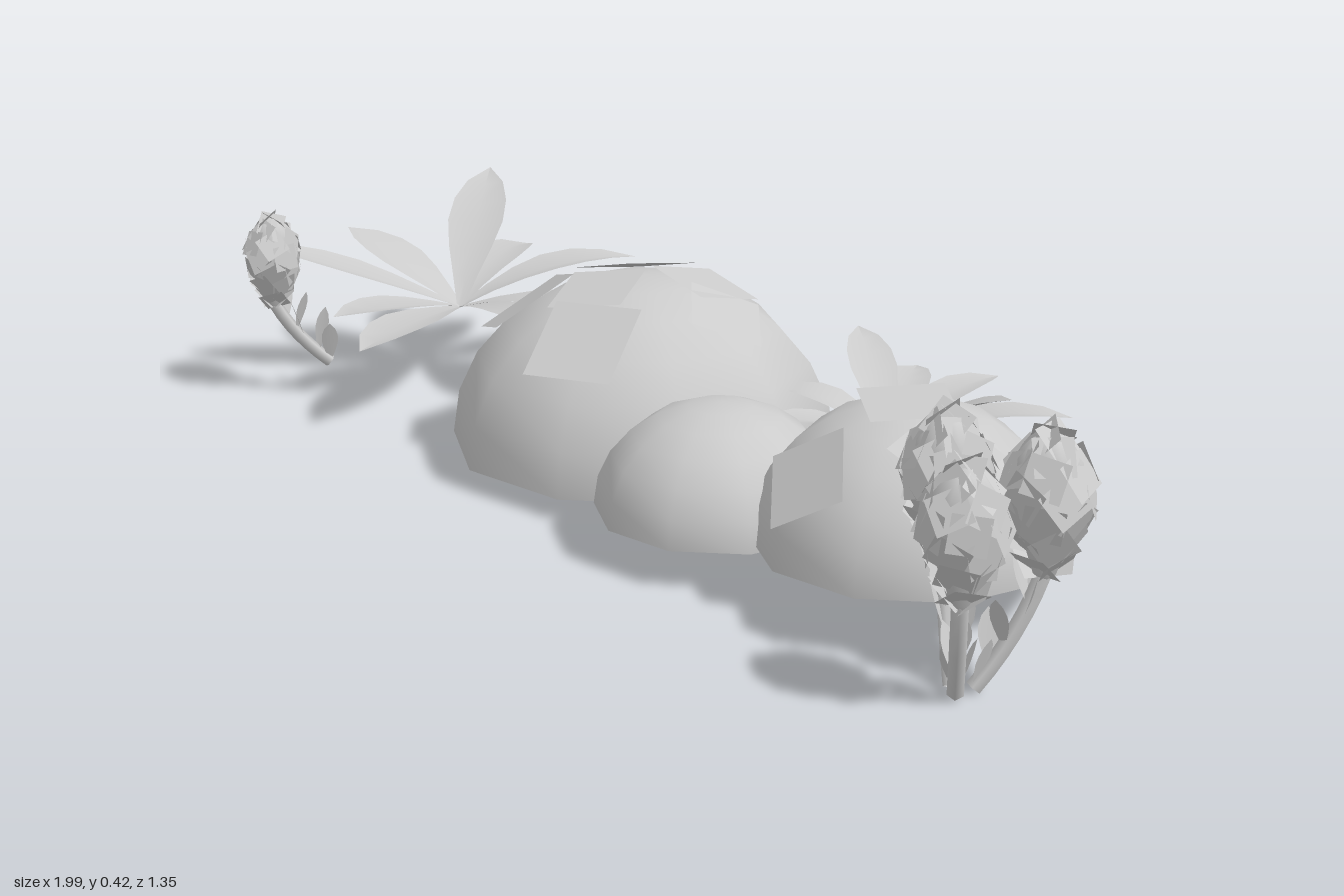
import * as THREE from 'three';

const grey = new THREE.MeshStandardMaterial({ color: 0xcccccc, side: THREE.DoubleSide });
const V = (x, y, z) => new THREE.Vector3(x, y, z);
const UP = V(0, 1, 0);

function add(parent, name, geometry) {
  const mesh = new THREE.Mesh(geometry, grey);
  mesh.name = name;
  parent.add(mesh);
  return mesh;
}

// Ten-sided hollow dome with one lower panel missing at the back
function domeGeometry() {
  const cols = 10, rows = 6, gap = 4;
  const g = new THREE.SphereGeometry(1, cols, rows, 0, Math.PI * 2, 0, Math.PI / 2);
  const keep = [], idx = g.index.array;
  for (let i = 0; i < idx.length; i += 3) {
    const tri = [idx[i], idx[i + 1], idx[i + 2]];
    const col = Math.min(...tri.map(k => k % (cols + 1)));
    const row = Math.min(...tri.map(k => Math.floor(k / (cols + 1))));
    if (row < 3 || col !== gap) keep.push(...tri);
  }
  g.setIndex(keep);
  // column 0 starts at 6 degrees from the front, columns run towards +x
  g.rotateY(THREE.MathUtils.degToRad(96));
  return g;
}

// Dome with square sheets lying against it: [x, z, size, spin]
function stone(parent, name, x, y, z, r, h, patches) {
  const group = new THREE.Group();
  group.name = name;
  parent.add(group);
  const dome = add(group, 'domeShell', domeGeometry());
  dome.position.set(x, y, z);
  dome.scale.set(r, h, r);
  for (const [px, pz, size, spin] of patches) {
    const dx = (px - x) / r, dz = (pz - z) / r;
    const dy = Math.sqrt(Math.max(0, 1 - dx * dx - dz * dz));
    const n = V(dx / r, dy / h, dz / r).normalize();
    const patch = add(group, 'surfacePatch', new THREE.PlaneGeometry(size, size));
    patch.position.set(px, y + dy * h, pz).addScaledVector(n, 0.003);
    patch.lookAt(patch.position.clone().add(n));
    patch.rotateZ(spin);
  }
}

// Folded, pointed blade following an arc from base to tip
function leafGeometry(base, tip, width, arch) {
  const steps = 6, profile = [0.12, 0.45, 0.78, 1, 0.95, 0.65, 0];
  const mid = base.clone().lerp(tip, 0.5).add(V(0, arch, 0));
  const curve = new THREE.QuadraticBezierCurve3(base, mid, tip);
  const side = tip.clone().sub(base).cross(UP).normalize();
  const g = new THREE.PlaneGeometry(2, 1, 2, steps), p = g.attributes.position;
  for (let i = 0; i <= steps; i++) {
    const c = curve.getPoint(i / steps), w = profile[i] * width / 2;
    for (let j = 0; j < 3; j++) {
      const s = j - 1, v = c.clone().addScaledVector(side, -s * w);
      p.setXYZ(i * 3 + j, v.x, v.y + Math.abs(s) * w * 0.2, v.z);
    }
  }
  g.computeVertexNormals();
  return g;
}

function rosette(parent, name, base, width, leaves) {
  const group = new THREE.Group();
  group.name = name;
  parent.add(group);
  for (const [x, y, z, arch] of leaves)
    add(group, 'leaf', leafGeometry(base, V(x, y, z), width, arch));
}

// Scaly egg-shaped bud on a thin bent stalk
function bud(parent, name, foot, centre, r, h, turn) {
  const group = new THREE.Group();
  group.name = name;
  parent.add(group);
  const neck = centre.clone().add(V(0, -h * 0.42, 0));
  const bend = V((foot.x + neck.x * 2) / 3, foot.y * 0.55 + neck.y * 0.45, (foot.z + neck.z * 2) / 3);
  const path = new THREE.QuadraticBezierCurve3(foot, bend, neck);
  add(group, 'stalk', new THREE.TubeGeometry(path, 6, 0.013, 5));

  // narrow bracts along the stalk
  for (let i = 0; i < 5; i++) {
    const a = turn + i * 2.4, start = path.getPoint(i * 0.18);
    const end = start.clone().add(V(Math.sin(a) * 0.028, 0.085, Math.cos(a) * 0.028));
    add(group, 'bract', leafGeometry(start, end, 0.032, 0));
  }

  const profile = [[0, -0.5], [0.25, -0.42], [0.55, -0.15], [0.8, 0.1], [0.7, 0.33], [0.35, 0.46], [0, 0.49]];
  const core = add(group, 'budCore', new THREE.LatheGeometry(
    profile.map(([a, b]) => new THREE.Vector2(a * r, b * h)), 8));
  core.position.copy(centre);

  // overlapping square scales in staggered rings
  const rings = [[-0.36, 0.32, 4], [-0.2, 0.56, 5], [-0.03, 0.76, 6], [0.13, 0.86, 6], [0.27, 0.76, 6], [0.38, 0.48, 4], [0.45, 0.18, 3]];
  rings.forEach(([v, rad, count], k) => {
    for (let i = 0; i < count; i++) {
      const a = turn + (i + (k % 2) / 2) * Math.PI * 2 / count;
      const wobble = Math.sin(i * 2.7 + k * 1.9 + turn);
      const out = V(Math.sin(a), 0, Math.cos(a));
      const scale = add(group, 'budScale', new THREE.PlaneGeometry(r * 0.85, r * 0.85));
      scale.position.copy(centre).addScaledVector(out, rad * r).add(V(0, v * h, 0));
      const tilt = v * 2.4 - 0.2 + wobble * 0.2;
      scale.lookAt(scale.position.clone().add(out).add(V(0, tilt, 0)));
      scale.rotateZ(0.6 * wobble);
    }
  });
}

export function createModel() {
  const model = new THREE.Group();
  model.name = 'rockGarden';

  // Hollow boulders
  stone(model, 'largeStone', -0.07, 0.04, -0.12, 0.35, 0.31, [
    [-0.27, -0.05, 0.17, 0.5], [-0.14, -0.21, 0.16, 0.6], [-0.11, -0.03, 0.14, 0.6],
    [-0.06, 0.10, 0.165, 0.05], [0.03, -0.17, 0.14, 0.75], [0.11, -0.10, 0.13, 0.7]]);
  stone(model, 'smallStone', 0.26, 0.07, 0.19, 0.21, 0.185, []);
  stone(model, 'mediumStone', 0.60, 0.08, 0.19, 0.255, 0.235, [
    [0.60, 0.21, 0.14, 0.6], [0.70, 0.29, 0.13, 0.6], [0.51, 0.37, 0.135, 0.7]]);

  // Spreading plants: leaf tip x, y, z and arch
  rosette(model, 'largePlant', V(-0.65, 0.14, -0.38), 0.115, [
    [-0.76, 0.36, -0.66, 0.04], [-0.68, 0.20, -0.68, 0.07], [-0.41, 0.21, -0.67, 0.06],
    [-0.19, 0.16, -0.41, 0.06], [-0.25, 0.17, -0.21, 0.04], [-0.58, 0.17, 0.05, 0.02],
    [-0.74, 0.18, -0.08, 0.02], [-1.00, 0.275, -0.16, 0.01], [-0.95, 0.26, -0.41, 0.02]]);
  rosette(model, 'smallPlant', V(0.41, 0.11, -0.15), 0.085, [
    [0.245, 0.24, -0.36, 0.04], [0.36, 0.18, -0.37, 0.05], [0.50, 0.17, -0.415, 0.05],
    [0.70, 0.17, -0.26, 0.05], [0.65, 0.24, -0.10, 0.03], [0.47, 0.15, 0.05, 0.05],
    [0.25, 0.17, 0.04, 0.04], [0.18, 0.17, -0.15, 0.05]]);

  // Cluster of three buds and one on its own
  bud(model, 'budOne', V(0.815, 0.01, 0.51), V(0.77, 0.285, 0.45), 0.07, 0.23, 0.2);
  bud(model, 'budTwo', V(0.845, 0.01, 0.50), V(0.92, 0.28, 0.44), 0.07, 0.23, 1.3);
  bud(model, 'budThree', V(0.83, 0.01, 0.53), V(0.86, 0.275, 0.60), 0.068, 0.22, 2.1);
  bud(model, 'loneBud', V(-0.79, 0.07, -0.13), V(-0.87, 0.27, -0.065), 0.056, 0.185, 0.7);

  return model;
}
